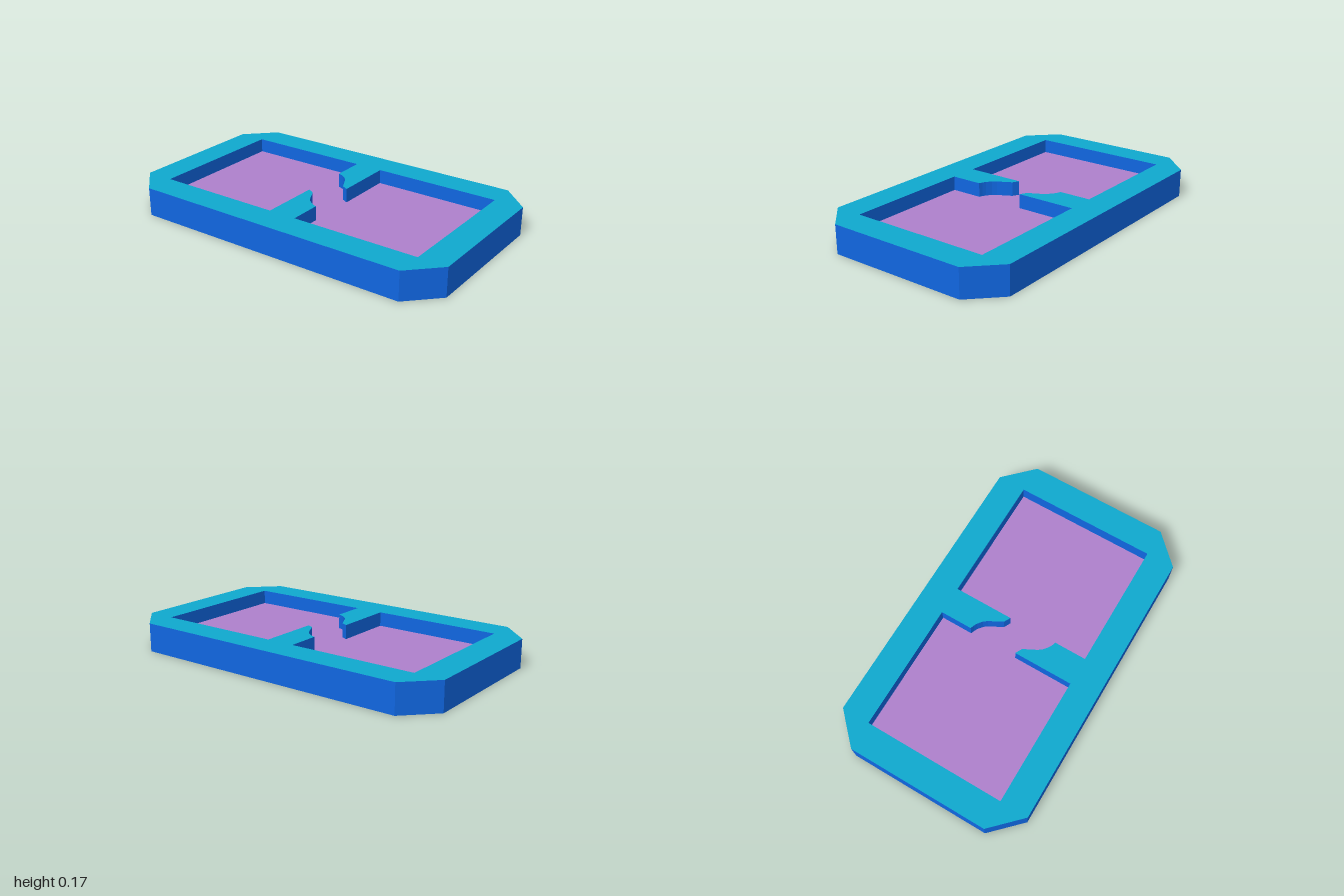
import * as THREE from 'three';

const H = 1 / 6, FLOOR = 1 / 12; // tray height and pocket floor height

const flat = (name, color) => {
  const m = new THREE.MeshStandardMaterial({ color });
  m.name = name;
  return m;
};

// Closed vertical wall following an [x, z] outline; outlines run clockwise seen
// from above for inward-facing walls, counter-clockwise for outward-facing ones.
function wallGeometry(points, y0, y1) {
  const pos = [];
  points.forEach(([ax, az], i) => {
    const [bx, bz] = points[(i + 1) % points.length];
    pos.push(ax, y0, az, bx, y0, bz, bx, y1, bz, ax, y0, az, bx, y1, bz, ax, y1, az);
  });
  const g = new THREE.BufferGeometry();
  g.setAttribute('position', new THREE.Float32BufferAttribute(pos, 3));
  g.computeVertexNormals();
  return g;
}

// Horizontal face from an [x, z] outline, facing up or down
function plateGeometry(points, y, up = true, hole = null) {
  const s = up ? -1 : 1;
  const to2D = (pts) => pts.map(([x, z]) => new THREE.Vector2(x, s * z));
  const shape = new THREE.Shape(to2D(points));
  if (hole) shape.holes.push(new THREE.Path(to2D(hole)));
  return new THREE.ShapeGeometry(shape).rotateX(s * Math.PI / 2).translate(0, y, 0);
}

export function createModel() {
  const blue = flat('wall blue', 0x1066e0);
  const teal = flat('rim teal', 0x0fa8ce);
  const purple = flat('floor purple', 0xae80cb);
  const black = flat('underside black', 0x040404);

  // Chamfered outline, counter-clockwise from above
  const X = 7 / 12, Z = 1, c = 1 / 6;
  const outer = [
    [X - c, Z], [X, Z - c], [X, c - Z], [X - c, -Z],
    [c - X, -Z], [-X, c - Z], [-X, Z - c], [c - X, Z],
  ];

  // Two pockets joined by a curved gap; the second half is the first turned 180 degrees
  const x = 5 / 12, z = 5 / 6, b = 1 / 12;
  const half = [
    [x, -z], [-x, -z], [-x, -b],
    [-0.065, -b], [-0.085, -0.045], [-0.112, -0.03], [-0.165, -0.003],
    [-0.188, 0.015], [-0.21, 0.043], [-0.22, 0.062], [-0.227, b],
    [-x, b],
  ];
  const pocket = [...half, ...half.map(([px, pz]) => [-px, -pz])];

  const group = new THREE.Group();
  const add = (name, geometry, material) => {
    const mesh = new THREE.Mesh(geometry, material);
    mesh.name = name;
    group.add(mesh);
  };
  add('outerWall', wallGeometry(outer, 0, H), blue);
  add('pocketWall', wallGeometry([...pocket].reverse(), FLOOR, H), blue);
  add('rim', plateGeometry(outer, H, true, pocket), teal);
  add('pocketFloor', plateGeometry(pocket, FLOOR), purple);
  add('underside', plateGeometry(outer, 0, false), black);
  return group;
}
